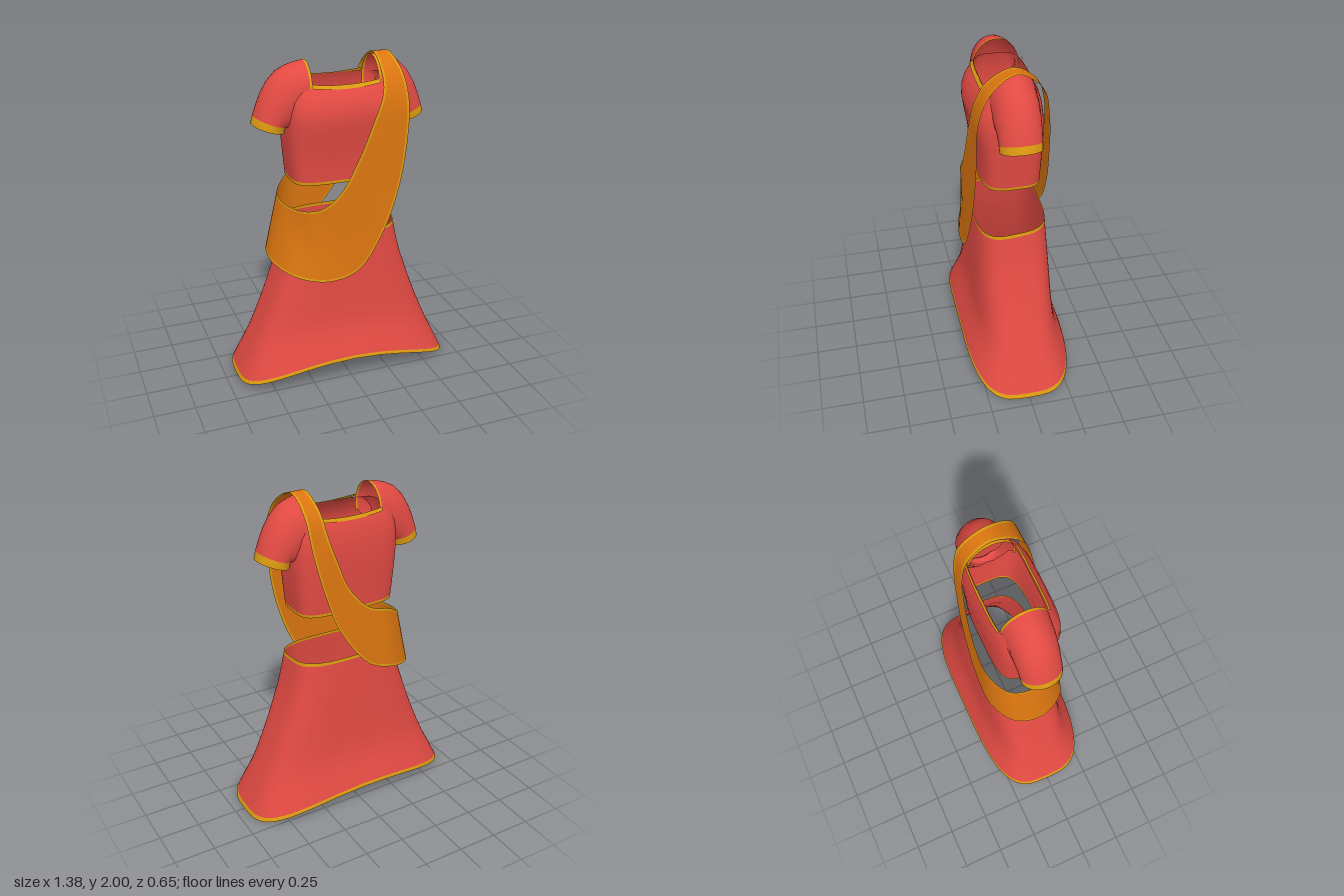
import * as THREE from 'three';

const material = (name, color) => {
  const m = new THREE.MeshStandardMaterial({ color, side: THREE.DoubleSide });
  m.name = name;
  return m;
};

// Skin a list of point rows; stripMats[i] picks the material between row i and i + 1
function skin(name, rows, closed, mats, stripMats) {
  const n = rows[0].length, pos = [], index = [];
  rows.forEach(r => r.forEach(p => pos.push(p[0], p[1], p[2])));
  const g = new THREE.BufferGeometry();
  for (let i = 0; i < rows.length - 1; i++) {
    const start = index.length;
    for (let j = 0; j < (closed ? n : n - 1); j++) {
      const k = (j + 1) % n, a = i * n + j, b = i * n + k, c = a + n, d = b + n;
      index.push(a, b, c, b, d, c);
    }
    g.addGroup(start, index.length - start, stripMats(i));
  }
  g.setAttribute('position', new THREE.Float32BufferAttribute(pos, 3));
  g.setIndex(index);
  g.computeVertexNormals();
  const mesh = new THREE.Mesh(g, mats);
  mesh.name = name;
  return mesh;
}

// Unit rounded-rectangle ring
function unitRing(power, count = 64) {
  const f = v => Math.sign(v) * Math.abs(v) ** (2 / power);
  return Array.from({ length: count }, (_, i) => {
    const a = (i / count) * Math.PI * 2;
    return [f(Math.cos(a)), f(Math.sin(a))];
  });
}

export function createModel() {
  const group = new THREE.Group();
  const red = material('red cloth', 0xe24a43);
  const gold = material('gold trim', 0xdb9a10);
  const orange = material('orange sash', 0xdb7510);

  // Skirt: fraction from waist to hem, half width, half depth
  const skirtProfile = [
    [0, 0.33, 0.208], [0.022, 0.334, 0.21], [0.12, 0.353, 0.216], [0.23, 0.38, 0.222],
    [0.34, 0.417, 0.227], [0.45, 0.455, 0.231], [0.57, 0.5, 0.236], [0.68, 0.545, 0.243],
    [0.77, 0.583, 0.257], [0.86, 0.625, 0.282], [0.92, 0.652, 0.304], [0.975, 0.677, 0.32], [1, 0.688, 0.325],
  ];
  const skirtRing = unitRing(3.4);
  const skirtRows = skirtProfile.map(([s, w, d]) => skirtRing.map(([x, z]) => {
    const waist = 0.99 - 0.02 * z;
    const hem = 0.015 - 0.015 * x + (z > 0 ? 0.15 : 0.105) * (1 - x * x);
    return [x * w, waist + (hem - waist) * s, z * d];
  }));
  group.add(skin('skirt', skirtRows, true, [red, gold],
    i => (i === 0 || i === skirtRows.length - 2 ? 1 : 0)));

  // Blouse body: height, half width, front depth, back depth
  const bodyProfile = [
    [1.287, 0.312, 0.185, 0.165], [1.305, 0.313, 0.186, 0.166], [1.38, 0.32, 0.188, 0.17],
    [1.48, 0.328, 0.195, 0.174], [1.58, 0.335, 0.212, 0.178], [1.66, 0.336, 0.224, 0.178],
    [1.72, 0.333, 0.222, 0.174], [1.78, 0.325, 0.202, 0.166], [1.83, 0.31, 0.168, 0.152],
    [1.855, 0.3, 0.146, 0.14],
  ];
  const bodyRing = unitRing(4);
  const bodyRows = bodyProfile.map(([y, w, f, b]) => bodyRing.map(([x, z]) => [x * w, y, z * (z > 0 ? f : b)]));
  group.add(skin('blouseBody', bodyRows, true, [red, gold], i => (i === 0 ? 1 : 0)));

  // Neckline trim, front and back
  for (const [name, side, low, high] of [['frontNeckTrim', 1, 0.164, 0.146], ['backNeckTrim', -1, 0.15, 0.14]]) {
    const rows = [[1.838, low], [1.858, high]].map(([y, d]) => Array.from({ length: 17 }, (_, i) => {
      const x = -0.205 + 0.41 * i / 16;
      return [x, y + 0.014 * (x / 0.2) ** 2, side * (d * (1 - (x / 0.31) ** 4) ** 0.25 + 0.004)];
    }));
    group.add(skin(name, rows, false, [gold], () => 0));
  }

  // Sleeves: top x, top y, bottom x, bottom y, half depth, opening angle in degrees
  const sleeveProfile = [
    [0.2, 1.985, 0.2, 1.65, 0.137, 105], [0.215, 1.985, 0.215, 1.65, 0.137, 105],
    [0.27, 1.975, 0.24, 1.63, 0.135, 115], [0.32, 1.96, 0.26, 1.61, 0.133, 135],
    [0.37, 1.935, 0.28, 1.6, 0.13, 160], [0.42, 1.885, 0.295, 1.595, 0.126, 180],
    [0.46, 1.82, 0.31, 1.6, 0.123, 180], [0.49, 1.75, 0.32, 1.61, 0.121, 180],
    [0.512, 1.687, 0.328, 1.617, 0.12, 180], [0.525, 1.64, 0.337, 1.58, 0.118, 180],
  ];
  for (const side of [1, -1]) {
    const rows = sleeveProfile.map(([tx, ty, bx, by, rz, open]) => Array.from({ length: 37 }, (_, i) => {
      const a = THREE.MathUtils.degToRad(open) * (i / 18 - 1), c = Math.cos(a) / 2;
      return [side * ((tx + bx) / 2 + (tx - bx) * c), (ty + by) / 2 + (ty - by) * c, 0.008 + rz * Math.sin(a)];
    }));
    group.add(skin(side > 0 ? 'leftSleeve' : 'rightSleeve', rows, false, [red, gold],
      i => (i === 0 || i === rows.length - 2 ? 1 : 0)));
  }

  // Sash: matching points along its upper and lower edges, over the left shoulder and round the right hip
  const loop = pts => new THREE.CatmullRomCurve3(pts.map(p => new THREE.Vector3(...p)), true);
  const upper = loop([
    [0.21, 2, 0], [0.205, 1.93, 0.145], [0.195, 1.81, 0.215], [0.12, 1.62, 0.237], [0.03, 1.42, 0.245],
    [-0.08, 1.24, 0.25], [-0.19, 1.16, 0.24], [-0.29, 1.15, 0.205], [-0.35, 1.155, 0.11], [-0.37, 1.165, 0],
    [-0.34, 1.185, -0.13], [-0.22, 1.265, -0.215], [-0.08, 1.31, -0.222], [0.05, 1.45, -0.212],
    [0.12, 1.62, -0.2], [0.17, 1.77, -0.182], [0.195, 1.91, -0.135],
  ]);
  const lower = loop([
    [0.305, 2, 0], [0.335, 1.91, 0.155], [0.352, 1.75, 0.225], [0.342, 1.5, 0.237], [0.29, 1.22, 0.247],
    [0.18, 0.94, 0.26], [0.03, 0.74, 0.268], [-0.16, 0.698, 0.268], [-0.35, 0.74, 0.215], [-0.452, 0.795, 0.04],
    [-0.42, 0.83, -0.13], [-0.27, 0.87, -0.23], [-0.08, 0.94, -0.24], [0.12, 1.2, -0.226],
    [0.215, 1.46, -0.21], [0.275, 1.7, -0.19], [0.3, 1.9, -0.145],
  ]);
  const count = 85, trim = 0.016;
  const sashRows = [0, 'a', 0.25, 0.5, 0.75, 'b', 1].map(v => Array.from({ length: count }, (_, i) => {
    const p = upper.getPoint(i / count), q = lower.getPoint(i / count), e = trim / p.distanceTo(q);
    return p.lerp(q, v === 'a' ? e : v === 'b' ? 1 - e : v).toArray();
  }));
  group.add(skin('sash', sashRows, true, [orange, gold], i => (i === 0 || i === 5 ? 1 : 0)));

  return group;
}
